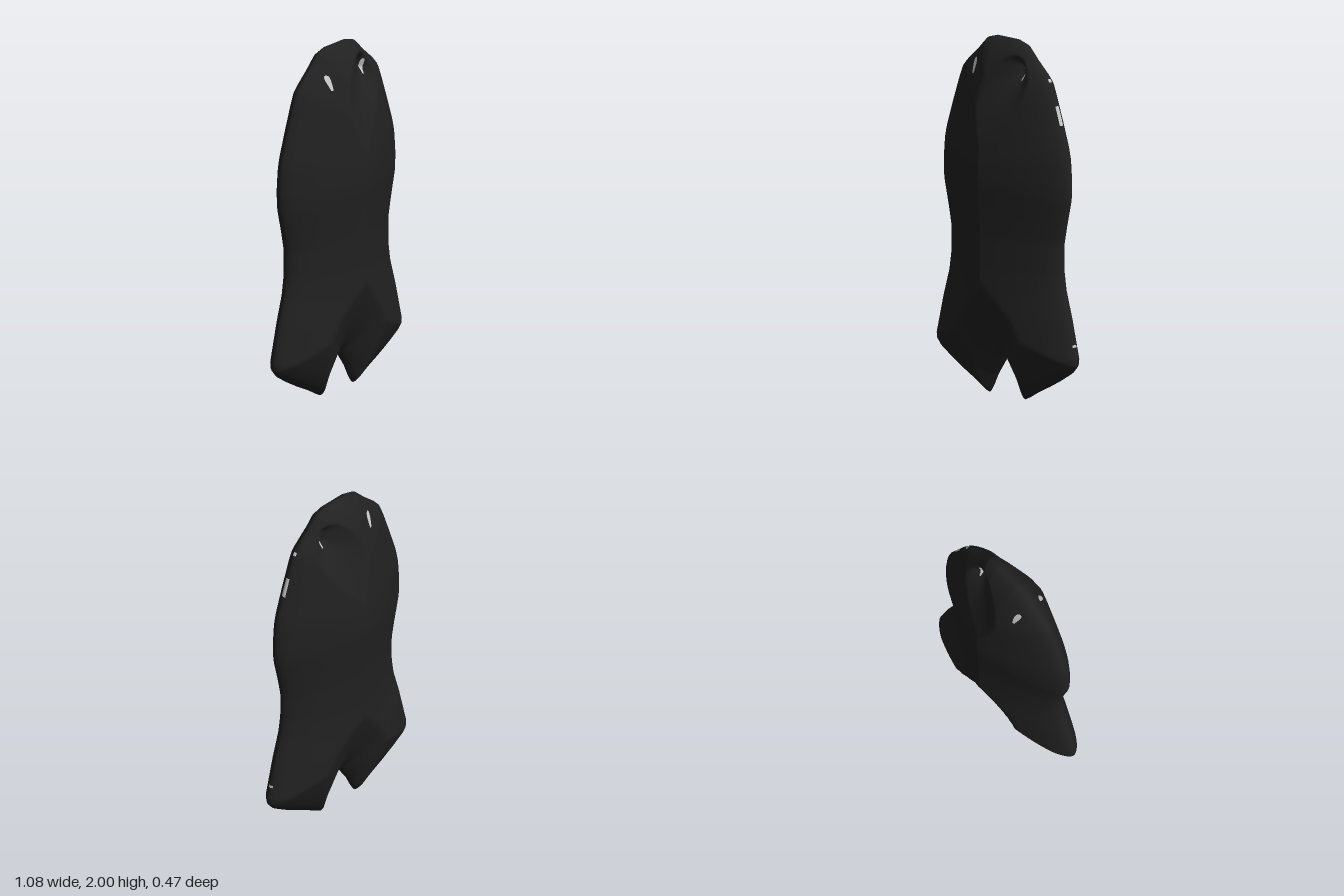
import * as THREE from 'three';
import { mergeVertices } from 'three/addons/utils/BufferGeometryUtils.js';

// Half outline as [y, x]: outer side from hem to crown, and the notch between the two tails
const OUTER = [[0, 0.14], [0.02, 0.18], [0.05, 0.23], [0.1, 0.33], [0.15, 0.42], [0.2, 0.5], [0.24, 0.535], [0.28, 0.54],
  [0.4, 0.51], [0.5, 0.485], [0.65, 0.44], [0.75, 0.425], [0.9, 0.425], [1, 0.445], [1.15, 0.48], [1.25, 0.485],
  [1.38, 0.475], [1.45, 0.46], [1.6, 0.41], [1.74, 0.36], [1.8, 0.335], [1.84, 0.3], [1.91, 0.22], [1.95, 0.18],
  [1.98, 0.15], [2, 0.08]];
const NOTCH_TOP = 0.22;
const NOTCH = [[0, 0.14], [0.03, 0.12], [0.1, 0.085], [0.2, 0.015], [NOTCH_TOP, 0]];
const RIM = [...NOTCH].reverse().concat(OUTER.slice(1), [[2, 0]]);
// Pinched eye socket on the left side of the head
const SOCKET = [[1.875, 0.147], [1.83, 0.155]];

function lookUp(table, y) {
  for (let i = 1; i < table.length; i++) {
    const [y0, x0] = table[i - 1], [y1, x1] = table[i];
    if (y <= y1) return x0 + (x1 - x0) * (y - y0) / (y1 - y0);
  }
  return 0;
}

function segmentDistance(x, y, [ay, ax], [by, bx]) {
  const dx = bx - ax, dy = by - ay;
  const t = THREE.MathUtils.clamp(((x - ax) * dx + (y - ay) * dy) / (dx * dx + dy * dy), 0, 1);
  return Math.hypot(x - ax - t * dx, y - ay - t * dy);
}

// Half thickness grows with the distance from the rim and the socket
function thickness(x, y) {
  let d = segmentDistance(x, y, ...SOCKET);
  for (let i = 1; i < RIM.length; i++) d = Math.min(d, segmentDistance(Math.abs(x), y, RIM[i - 1], RIM[i]));
  return d < 1e-5 ? 0 : 0.36 * Math.pow(d, 0.6);
}

const ease = (t) => (1 - Math.cos(Math.PI * t)) / 2;

function bodyGeometry() {
  const rows = [], cols = 32;
  for (let i = 0; i < 28; i++) rows.push(NOTCH_TOP * ease(i / 28));
  for (let i = 0; i <= 110; i++) rows.push(NOTCH_TOP + (2 - NOTCH_TOP) * ease(i / 110));
  const worn = [[0.34, 0.36], [1.55, 1.67], [1.795, 1.81]];
  const pos = [], cloth = [], edge = [];
  for (const side of [1, -1]) for (const face of [1, -1]) {
    const start = pos.length / 3;
    for (const y of rows) {
      const x0 = y < NOTCH_TOP ? lookUp(NOTCH, y) : 0, x1 = lookUp(OUTER, y);
      for (let j = 0; j <= cols; j++) {
        const x = side * (x0 + (x1 - x0) * ease(j / cols));
        pos.push(x, y, face * thickness(x, y));
      }
    }
    for (let i = 0; i < rows.length - 1; i++) for (let j = 0; j < cols; j++) {
      const a = start + i * (cols + 1) + j, b = a + 1, c = b + cols + 1, d = a + cols + 1;
      const pale = side > 0 && j >= cols - 2 && worn.some(([lo, hi]) => rows[i] >= lo && rows[i] <= hi);
      (pale ? edge : cloth).push(...(side * face > 0 ? [a, b, c, a, c, d] : [a, c, b, a, d, c]));
    }
  }
  let geo = new THREE.BufferGeometry();
  geo.setAttribute('position', new THREE.Float32BufferAttribute(pos, 3));
  geo.setIndex([...cloth, ...edge]);
  geo = mergeVertices(geo, 1e-5);
  geo.clearGroups();
  geo.addGroup(0, cloth.length, 0);
  geo.addGroup(cloth.length, edge.length, 1);
  geo.computeVertexNormals();
  return geo;
}

// Teardrop patch that follows the body surface
function eyeGeometry(cx, width, face) {
  const pos = [], index = [], n = 14, m = 6;
  for (let i = 0; i <= n; i++) {
    const t = i / n, y = 1.79 + 0.085 * t;
    const w = width * Math.sqrt(Math.max(0, 1 - t ** 4)) * (0.3 + 0.7 * t);
    for (let j = 0; j <= m; j++) {
      const x = cx - 0.012 * (t - 0.5) * Math.sign(cx) * -1 + w * (j / m - 0.5);
      pos.push(x, y, face * (thickness(x, y) + 0.004));
    }
  }
  for (let i = 0; i < n; i++) for (let j = 0; j < m; j++) {
    const a = i * (m + 1) + j, b = a + 1, c = b + m + 1, d = a + m + 1;
    index.push(...(face > 0 ? [a, b, c, a, c, d] : [a, c, b, a, d, c]));
  }
  const geo = new THREE.BufferGeometry();
  geo.setAttribute('position', new THREE.Float32BufferAttribute(pos, 3));
  geo.setIndex(index);
  geo.computeVertexNormals();
  return geo;
}

export function createModel() {
  const black = new THREE.MeshStandardMaterial({ color: 0x212121 });
  black.name = 'black cloth';
  const silver = new THREE.MeshStandardMaterial({ color: 0xc8c8c8 });
  silver.name = 'pale silver';

  const group = new THREE.Group();
  group.name = 'cloak';
  const add = (name, geo, material) => {
    const mesh = new THREE.Mesh(geo, material);
    mesh.name = name;
    group.add(mesh);
  };
  add('body', bodyGeometry(), [black, silver]);

  // Eyes on both faces
  for (const face of [1, -1]) {
    const where = face > 0 ? 'Front' : 'Back';
    add('rightEye' + where, eyeGeometry(-0.167, 0.046, face), silver);
    add('leftEye' + where, eyeGeometry(0.17, 0.026, face), silver);
  }
  return group;
}
